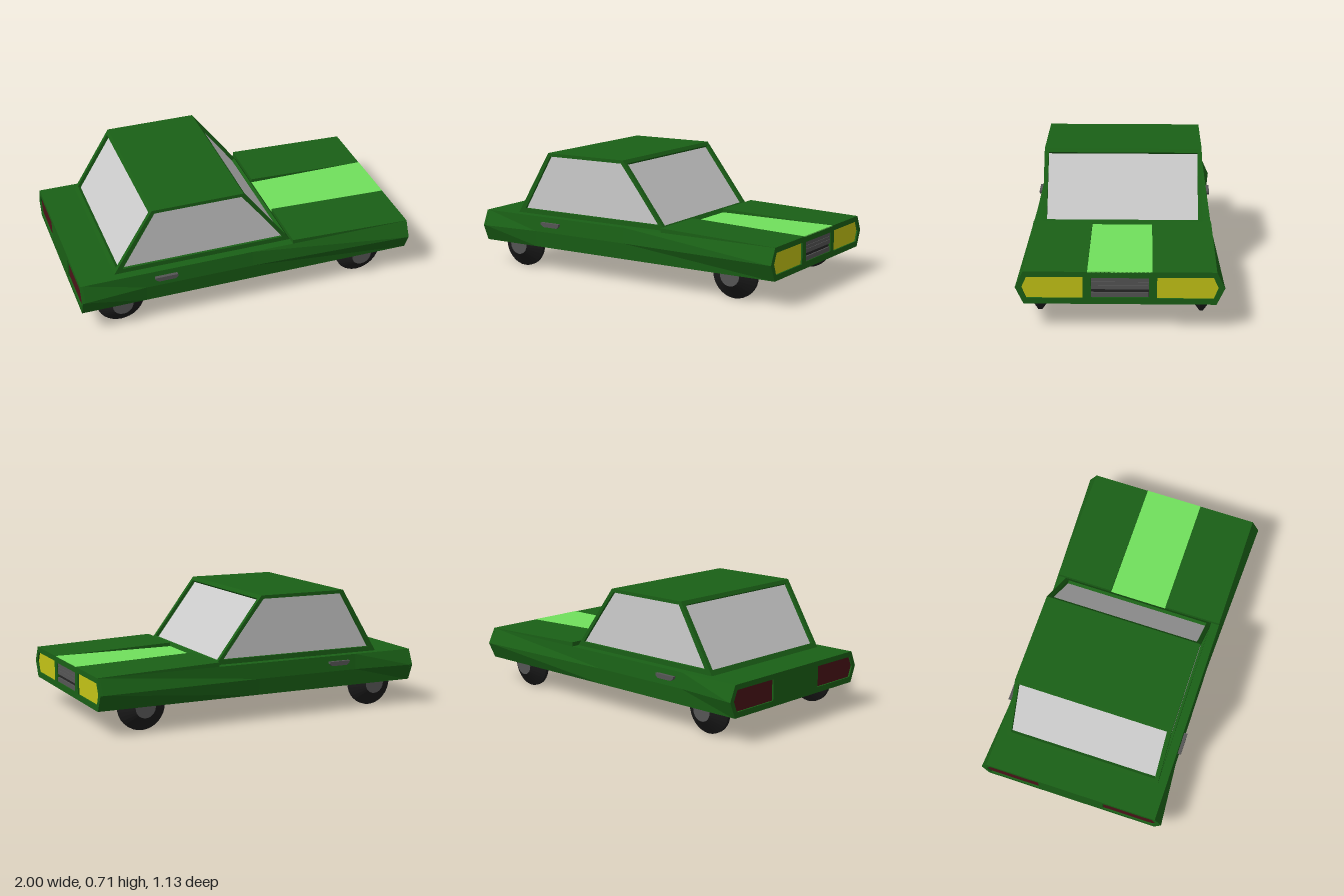
import * as THREE from 'three';

const paint = (color) => new THREE.MeshStandardMaterial({ color, flatShading: true });
const GREEN = paint(0x1a6016), STRIPE = paint(0x70e05c), GLASS = paint(0xcccccc);
const YELLOW = paint(0xc4c416), RED = paint(0x4a1418), METAL = paint(0x555555);
const BLACK = paint(0x1c1c1c), DARK = paint(0x262626);

const path = (pts, Type = THREE.Shape) => new Type(pts.map(([x, y]) => new THREE.Vector2(x, y)));

// Flat outline with optional holes, extruded along +z
function plate(pts, depth, holes = []) {
  const shape = path(pts);
  shape.holes = holes.map((h) => path(h, THREE.Path));
  return new THREE.ExtrudeGeometry(shape, { depth, bevelEnabled: false });
}

// Lower body: six-sided sections [x, half width at the waist] joined along x
function bodyGeometry() {
  const sections = [[-0.985, 0.559], [-0.62, 0.53], [0.02, 0.53], [0.985, 0.564]];
  const pos = [], idx = [];
  for (const [x, w] of sections) {
    for (const [y, z] of [[0.145, 0.52], [0.24, w], [0.33, 0.52], [0.33, -0.52], [0.24, -w], [0.145, -0.52]]) pos.push(x, y, z);
  }
  for (let s = 0; s < 3; s++) {
    for (let i = 0; i < 6; i++) {
      const a = s * 6 + i, b = s * 6 + (i + 1) % 6;
      idx.push(a, a + 6, b, b, a + 6, b + 6);
    }
  }
  for (let i = 1; i < 5; i++) idx.push(0, i, i + 1, 18, 18 + i + 1, 18 + i);
  const g = new THREE.BufferGeometry();
  g.setAttribute('position', new THREE.Float32BufferAttribute(pos, 3));
  g.setIndex(idx);
  const flat = g.toNonIndexed();
  flat.computeVertexNormals();
  return flat;
}

export function createModel() {
  const car = new THREE.Group();
  car.name = 'car';
  const add = (name, geometry, material, x = 0, y = 0, z = 0, parent = car) => {
    const m = new THREE.Mesh(geometry, material);
    m.name = name;
    m.position.set(x, y, z);
    parent.add(m);
    return m;
  };

  add('lowerBody', bodyGeometry(), GREEN);

  // Nose and tail: plates with openings, lamps set back inside them
  const lamp = (s) => [[0.2, 0.178], [0.505, 0.178], [0.53, 0.24], [0.503, 0.3], [0.2, 0.3]].map(([z, y]) => [z * s, y]);
  const grilleHole = [[-0.156, 0.184], [0.156, 0.184], [0.156, 0.296], [-0.156, 0.296]];
  for (const end of [1, -1]) {
    const panel = new THREE.Group();
    panel.name = end > 0 ? 'nose' : 'tail';
    panel.rotation.y = end * Math.PI / 2;
    panel.position.x = end * 0.985;
    car.add(panel);
    const w = end > 0 ? 0.565 : 0.56;
    const outline = [[-0.52, 0.145], [0.52, 0.145], [w, 0.24], [0.52, 0.33], [-0.52, 0.33], [-w, 0.24]];
    const holes = [lamp(1), lamp(-1)];
    if (end > 0) holes.push(grilleHole);
    add('endPanel', plate(outline, 0.015, holes), GREEN, 0, 0, 0, panel);
    for (const s of [1, -1]) {
      add(end > 0 ? 'headlight' : 'tailLight', plate(lamp(s), 0.006), end > 0 ? YELLOW : RED, 0, 0, 0, panel);
    }
    if (end > 0) {
      add('grilleBack', plate(grilleHole, 0.003), DARK, 0, 0, 0, panel);
      for (const [y, h] of [[0.198, 0.026], [0.241, 0.023], [0.263, 0.017], [0.284, 0.021]]) {
        add('grilleBar', new THREE.BoxGeometry(0.31, h, 0.01), METAL, 0, y, 0.006, panel);
      }
    }
  }

  // Bonnet: two raised wedges with a bright stripe in the channel between them
  for (const z of [-0.52, 0.175]) {
    add('bonnetPanel', plate([[0.27, 0.328], [1, 0.328], [1, 0.331], [0.27, 0.355]], 0.345), GREEN, 0, 0, z);
  }
  add('bonnetStripe', new THREE.BoxGeometry(0.73, 0.006, 0.35), STRIPE, 0.635, 0.33, 0);

  // Cabin: glass core inside a frame
  add('cabinGlass', plate([[-0.767, 0.33], [0.245, 0.33], [-0.037, 0.7], [-0.543, 0.7]], 0.91), GLASS, 0, 0, -0.455);
  const side = [[-0.79, 0.33], [0.27, 0.33], [-0.02, 0.71], [-0.56, 0.71]];
  const sideHole = [[-0.74, 0.358], [0.228, 0.358], [-0.033, 0.69], [-0.545, 0.69]];
  for (const z of [-0.47, 0.45]) add('sideWindowFrame', plate(side, 0.02, [sideHole]), GREEN, 0, 0, z);
  add('roof', new THREE.BoxGeometry(0.54, 0.02, 0.94), GREEN, -0.29, 0.7, 0);

  // Sloping frames of the windscreen and rear window
  const slopedFrame = (name, x0, x1) => {
    const up = new THREE.Vector3(x1 - x0, 0.38, 0);
    const len = up.length();
    up.normalize();
    const across = new THREE.Vector3(0, 0, x1 > x0 ? 1 : -1);
    const out = across.clone().cross(up);
    const rect = (w, a, b) => [[-w, a], [w, a], [w, b], [-w, b]];
    const m = add(name, plate(rect(0.47, 0, len), 0.02, [rect(0.445, 0.032, len - 0.025)]), GREEN);
    m.quaternion.setFromRotationMatrix(new THREE.Matrix4().makeBasis(across, up, out));
    m.position.set(x0, 0.33, 0).addScaledVector(out, -0.02);
  };
  slopedFrame('windscreenFrame', 0.27, -0.02);
  slopedFrame('rearWindowFrame', -0.79, -0.56);

  // Door handles
  const handle = [[-0.55, 0.274], [-0.452, 0.274], [-0.437, 0.288], [-0.437, 0.3], [-0.57, 0.3], [-0.57, 0.288]];
  for (const z of [-0.543, 0.503]) add('doorHandle', plate(handle, 0.04), METAL, 0, 0, z);

  // Wheels: tyres tapering to a narrow tread, plain hubs
  const tyre = new THREE.LatheGeometry(path([[0.06, -0.07], [0.14, -0.01], [0.14, 0.01], [0.06, 0.07]]).getPoints(), 32);
  const hub = new THREE.CylinderGeometry(0.06, 0.06, 0.14, 32);
  for (const x of [-0.76, 0.72]) {
    for (const z of [-0.449, 0.449]) {
      const wheel = new THREE.Group();
      wheel.name = 'wheel';
      wheel.position.set(x, 0.14, z);
      wheel.rotation.x = Math.PI / 2;
      car.add(wheel);
      add('tyre', tyre, BLACK, 0, 0, 0, wheel);
      add('hub', hub, METAL, 0, 0, 0, wheel);
    }
  }
  return car;
}
